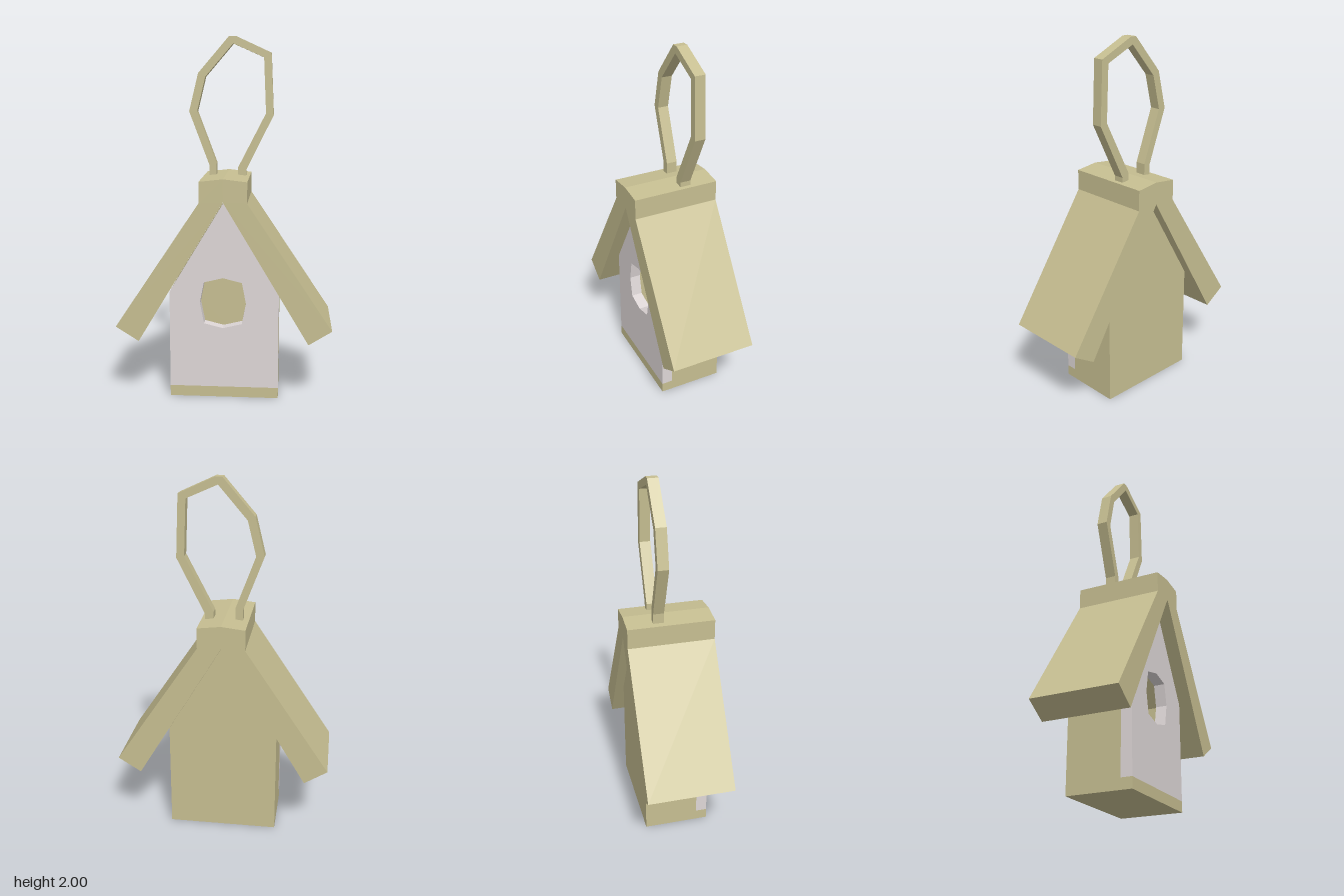
import * as THREE from 'three';

const wood = new THREE.MeshStandardMaterial({ color: 0xc6be91 });
wood.name = 'tan wood';
const paint = new THREE.MeshStandardMaterial({ color: 0xded7d7 });
paint.name = 'pale grey paint';

const toPoints = (list) => list.map(([x, y]) => new THREE.Vector2(x, y));

// Extrudes an outline (with optional hole) from zBack to zFront
function slab(name, material, outline, zBack, zFront, hole) {
  const shape = new THREE.Shape(toPoints(outline));
  if (hole) shape.holes.push(new THREE.Path(toPoints(hole)));
  const geometry = new THREE.ExtrudeGeometry(shape, { depth: zFront - zBack, bevelEnabled: false });
  geometry.translate(0, 0, zBack);
  const mesh = new THREE.Mesh(geometry, material);
  mesh.name = name;
  return mesh;
}

// Completes a symmetric outline from its right half, listed bottom to top
const mirrored = (half) => [...half, ...half.filter(([x]) => x > 0).reverse().map(([x, y]) => [-x, y])];

export function createModel() {
  const house = new THREE.Group();
  house.name = 'birdhouse';

  const gable = mirrored([[0.303, 0.06], [0.303, 0.605], [0, 1.11]]);
  const inside = mirrored([[0.225, 0.061], [0.225, 0.58], [0, 0.96]]);
  const back = -0.194, front = 0.171, backInner = -0.12, frontInner = 0.109;

  // Floor
  const floor = new THREE.Mesh(new THREE.BoxGeometry(0.606, 0.06, front - back), wood);
  floor.name = 'floor';
  floor.position.set(0, 0.03, (front + back) / 2);

  // Hollow body
  const backWall = slab('backWall', wood, gable, back, backInner);
  const sideWalls = slab('sideWalls', wood, gable, backInner, frontInner, inside);

  // Painted front with an eight-sided entrance
  const entrance = [];
  for (let i = 0; i < 8; i++) {
    const a = (i * Math.PI) / 4;
    const k = i % 2 ? 1.16 : 1;
    entrance.push([-0.006 + 0.128 * k * Math.cos(a), 0.545 + 0.143 * k * Math.sin(a)]);
  }
  const frontWall = slab('frontWall', paint, gable, frontInner, front, entrance);

  // Thick pitched roof with a raised ridge cap
  const roof = slab('roof', wood, [
    [0, 1.12], [0.467, 0.34], [0.594, 0.42], [0.13, 1.115], [0.13, 1.23], [0, 1.245],
    [-0.13, 1.23], [-0.13, 1.115], [-0.594, 0.42], [-0.467, 0.34],
  ], -0.244, 0.244);

  // Angular hanging loop, outer edge up and over, then back along the inner edge
  const hanger = slab('hangingLoop', wood, [
    [-0.098, 1.2], [-0.098, 1.29], [-0.211, 1.59], [-0.16, 1.8], [0.012, 2], [0.05, 2],
    [0.246, 1.91], [0.261, 1.57], [0.108, 1.26], [0.108, 1.2],
    [0.062, 1.2], [0.062, 1.275], [0.218, 1.58], [0.205, 1.885],
    [0.035, 1.96], [-0.12, 1.78], [-0.166, 1.59], [-0.057, 1.3], [-0.057, 1.2],
  ], -0.095, -0.035);

  house.add(floor, backWall, sideWalls, frontWall, roof, hanger);
  house.rotation.y = -THREE.MathUtils.degToRad(28.1);

  const model = new THREE.Group();
  model.name = 'hangingBirdhouse';
  model.add(house);
  return model;
}
